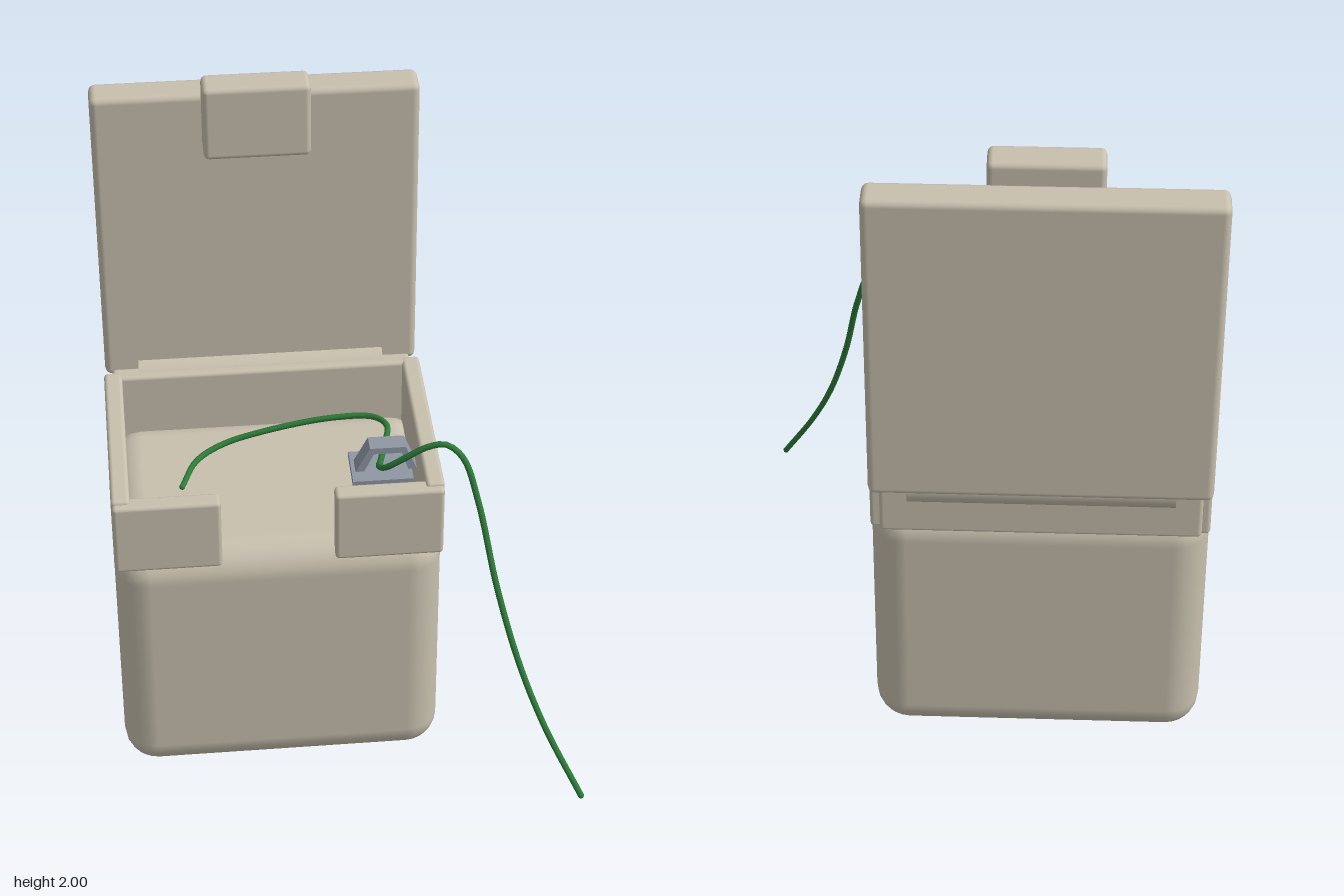
import * as THREE from 'three';
import { RoundedBoxGeometry } from 'three/addons/geometries/RoundedBoxGeometry.js';

const shell = new THREE.MeshStandardMaterial({ color: 0xc8c0ae });
const steel = new THREE.MeshStandardMaterial({ color: 0x8f97a3 });
const green = new THREE.MeshStandardMaterial({ color: 0x2e7d3a });

export function createModel() {
  const model = new THREE.Group();

  function add(name, geometry, material) {
    const mesh = new THREE.Mesh(geometry, material);
    mesh.name = name;
    model.add(mesh);
    return mesh;
  }

  // Rounded box given by its extents on each axis
  function block(name, [x0, x1], [y0, y1], [z0, z1], radius, segments = 2, material = shell) {
    const mesh = add(name, new RoundedBoxGeometry(x1 - x0, y1 - y0, z1 - z0, segments, radius), material);
    mesh.position.set((x0 + x1) / 2, (y0 + y1) / 2, (z0 + z1) / 2);
    return mesh;
  }

  // Main container
  block('body', [-0.66, 0.29], [0.005, 0.83], [-0.495, 0.19], 0.1, 3);

  // Rim around the top, open in the middle of the front
  block('rightWall', [-0.66, -0.606], [0.765, 1.022], [-0.473, 0.16], 0.012);
  block('leftWall', [0.236, 0.29], [0.765, 1.022], [-0.473, 0.16], 0.012);
  block('backWall', [-0.635, 0.262], [0.77, 1.02], [-0.495, -0.44], 0.012);
  block('frontRightWall', [-0.658, -0.35], [0.78, 1.012], [0.125, 0.18], 0.012);
  block('frontLeftWall', [-0.025, 0.288], [0.78, 1.012], [0.125, 0.18], 0.012);

  // Opened lid with its latch tab and hinge barrel
  block('lid', [-0.655, 0.283], [0.988, 1.938], [-0.605, -0.502], 0.02);
  block('latchTab', [-0.34, -0.035], [1.772, 2], [-0.515, -0.417], 0.016);
  const hinge = add('hinge', new THREE.CylinderGeometry(0.065, 0.065, 0.735, 20), shell);
  hinge.rotation.z = Math.PI / 2;
  hinge.position.set(-0.1875, 0.975, -0.51);

  // Cable clip: flat plate and a bent strap bridging the cable
  const plate = add('clipPlate', new THREE.BoxGeometry(0.175, 0.022, 0.143), steel);
  plate.position.set(0.123, 0.969, 0.004);
  const arch = new THREE.Shape([
    [0.047, 0.98], [0.088, 1.06], [0.192, 1.06], [0.225, 0.98],
    [0.2, 0.98], [0.18, 1.04], [0.1, 1.04], [0.072, 0.98],
  ].map(([x, y]) => new THREE.Vector2(x, y)));
  const strap = add('clipStrap', new THREE.ExtrudeGeometry(arch, { depth: 0.056, bevelEnabled: false }), steel);
  strap.position.z = -0.026;

  // Cable curling inside, through the clip, then over the rim to the ground
  const path = new THREE.CatmullRomCurve3([
    [-0.45, 0.87, -0.09], [-0.4, 0.88, -0.2], [-0.32, 0.898, -0.248], [-0.18, 0.932, -0.26],
    [0, 0.972, -0.248], [0.12, 0.99, -0.22], [0.158, 1, -0.16], [0.14, 1.005, -0.06],
    [0.117, 1.02, 0.04], [0.107, 1.05, 0.1], [0.12, 1.075, 0.14], [0.17, 1.12, 0.162],
    [0.235, 1.168, 0.177], [0.285, 1.182, 0.19], [0.33, 1.15, 0.212], [0.372, 1.02, 0.255],
    [0.42, 0.78, 0.345], [0.48, 0.56, 0.43], [0.55, 0.38, 0.51], [0.652, 0.18, 0.597],
  ].map((p) => new THREE.Vector3(...p)));
  add('cable', new THREE.TubeGeometry(path, 120, 0.009, 8), green);
  for (const t of [0, 1]) {
    const cap = add('cableEnd', new THREE.SphereGeometry(0.009, 8, 6), green);
    cap.position.copy(path.getPoint(t));
  }

  return model;
}
